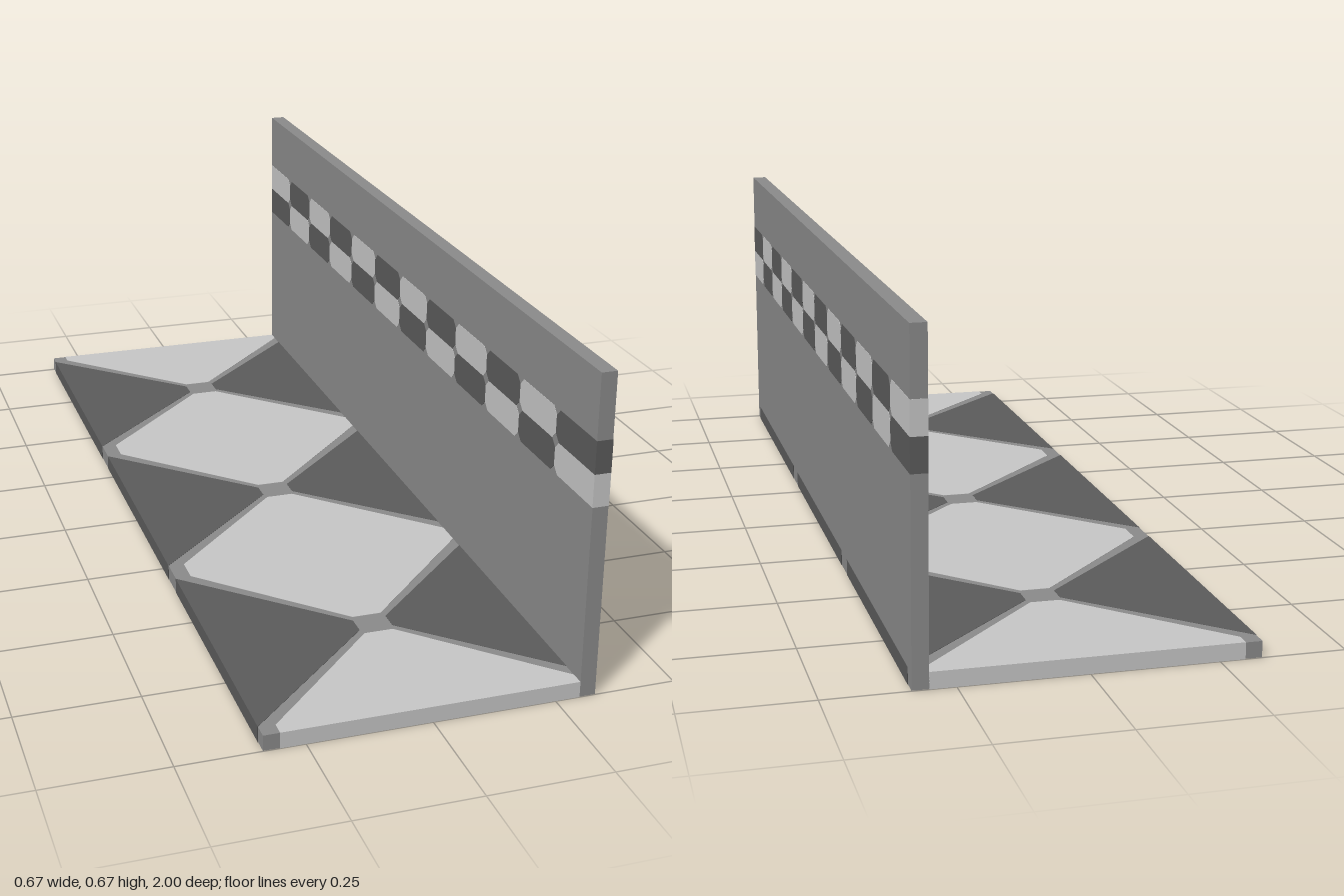
import * as THREE from 'three';

const light = new THREE.MeshStandardMaterial({ color: 0xc8c8c8, name: 'lightGrey' });
const mid = new THREE.MeshStandardMaterial({ color: 0x8c8c8c, name: 'midGrey' });
const dark = new THREE.MeshStandardMaterial({ color: 0x5c5c5c, name: 'darkGrey' });

const W = 1 / 3;      // half width
const T = 1 / 30;     // slab thickness
const H = 2 / 3;      // wall height
const E = 0.0006;     // inset of the base slabs behind the inlaid tiles

function prism(points) {
  const shape = new THREE.Shape(points.map(([a, b]) => new THREE.Vector2(a, b)));
  return new THREE.ExtrudeGeometry(shape, { depth: T, bevelEnabled: false });
}

export function createModel() {
  const model = new THREE.Group();
  const add = (name, geometry, material) => {
    const mesh = new THREE.Mesh(geometry, material);
    mesh.name = name;
    model.add(mesh);
  };
  const slab = (name, x0, x1, y0, y1) => {
    const g = new THREE.BoxGeometry(x1 - x0, y1 - y0, 2 - 2 * E);
    add(name, g.translate((x0 + x1) / 2, (y0 + y1) / 2, 0), mid);
  };
  // points are (x, z)
  const floorTile = (name, pts, material) =>
    add(name, prism(pts).rotateX(Math.PI / 2).translate(0, T, 0), material);
  // points are (z, y)
  const wallTile = (name, pts, material) =>
    add(name, prism(pts).rotateY(-Math.PI / 2).translate(W, 0, 0), material);

  // grey base slabs
  slab('floor', -W + E, W - T, E, T - E);
  slab('wall', W - T + E, W - E, E, H);

  // floor inlays around each crossing point
  for (const zc of [-2 / 3, 0, 2 / 3]) {
    for (const s of [-1, 1]) {
      floorTile('darkFloorTriangle', [
        [s * W, zc - 0.302], [s * W, zc + 0.302],
        [s * 0.035, zc + 0.02], [s * 0.035, zc - 0.02],
      ], dark);
      floorTile('lightFloorHalfDiamond', [
        [-0.03, zc + s * 0.035], [0.03, zc + s * 0.035],
        [0.3, zc + s * 0.305], [0.3, zc + s / 3],
        [-0.3, zc + s / 3], [-0.3, zc + s * 0.305],
      ], light);
    }
  }

  // two rows of chequered wall tiles with clipped corners
  const cell = 1 / 6;
  for (let row = 0; row < 2; row++) {
    const y0 = 0.4 + row / 15, y1 = y0 + 1 / 15;
    for (let i = 0; i < 12; i++) {
      const z0 = -1 + i * cell, z1 = z0 + cell;
      const a = i === 0 ? 0 : 0.015, b = i === 11 ? 0 : 0.015;
      const pts = [];
      if (a) pts.push([z0, y1 - a], [z0, y0 + a], [z0 + a, y0]);
      else pts.push([z0, y1], [z0, y0]);
      if (b) pts.push([z1 - b, y0], [z1, y0 + b], [z1, y1 - b], [z1 - b, y1]);
      else pts.push([z1, y0], [z1, y1]);
      if (a) pts.push([z0 + a, y1]);
      const isDark = (i + row) % 2 === 0;
      wallTile(isDark ? 'darkWallTile' : 'lightWallTile', pts, isDark ? dark : light);
    }
  }
  return model;
}
